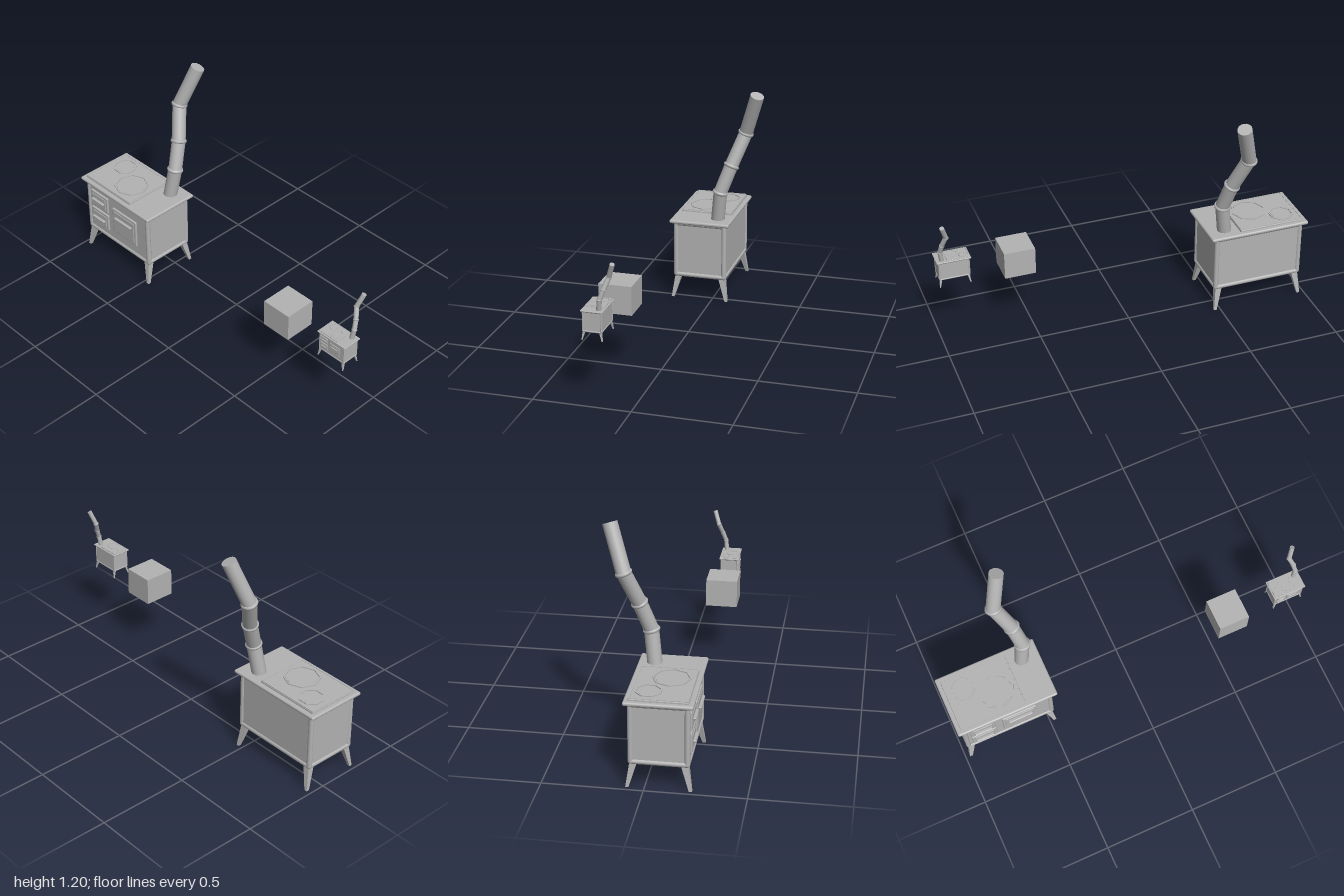
import * as THREE from 'three';
import { RoundedBoxGeometry } from 'three/addons/geometries/RoundedBoxGeometry.js';

const iron = new THREE.MeshStandardMaterial({ color: 0xb3b3b3 });
iron.name = 'grey iron';

const UP = new THREE.Vector3(0, 1, 0);

function add(group, name, geometry, x = 0, y = 0, z = 0) {
  const mesh = new THREE.Mesh(geometry, iron);
  mesh.name = name;
  mesh.position.set(x, y, z);
  group.add(mesh);
  return mesh;
}

// Round bar between two points
function bar(group, name, a, b, radius, sides = 12) {
  const dir = b.clone().sub(a);
  const mesh = add(group, name, new THREE.CylinderGeometry(radius, radius, dir.length(), sides));
  mesh.position.copy(a).add(b).multiplyScalar(0.5);
  mesh.quaternion.setFromUnitVectors(UP, dir.normalize());
  return mesh;
}

// Square leg, narrow at the foot and leaning outward
function legGeometry(sx, sz) {
  const g = new THREE.BoxGeometry(1, 0.14, 1).toNonIndexed();
  const p = g.attributes.position;
  for (let i = 0; i < p.count; i++) {
    const top = p.getY(i) > 0;
    const half = top ? 0.019 : 0.008;
    const cx = top ? 0.122 : 0.154, cz = top ? 0.224 : 0.249;
    p.setXYZ(i, sx * cx + Math.sign(p.getX(i)) * half, top ? 0.14 : 0,
      sz * cz + Math.sign(p.getZ(i)) * half);
  }
  g.computeVertexNormals();
  return g;
}

// Flat ring or frame lying on the cooking surface
function flatRing(outer, inner, height) {
  const shape = new THREE.Shape(outer);
  shape.holes.push(new THREE.Path(inner));
  const g = new THREE.ExtrudeGeometry(shape, { depth: height, bevelEnabled: false });
  return g.rotateX(-Math.PI / 2);
}

function octagon(r, turn) {
  return Array.from({ length: 8 }, (_, i) => {
    const a = turn + i * Math.PI / 4;
    return new THREE.Vector2(r * Math.cos(a), r * Math.sin(a));
  });
}

function rectangle(w, d) {
  return [[-1, -1], [1, -1], [1, 1], [-1, 1]].map(([x, y]) => new THREE.Vector2(x * w / 2, y * d / 2));
}

// Door on the -x side: plate, raised panel and bulging handle
function addDoor(group, y0, y1, z0, z1, handleY) {
  const door = new THREE.Group();
  door.name = 'door';
  const h = y1 - y0, w = z1 - z0, y = (y0 + y1) / 2, z = (z0 + z1) / 2;
  add(door, 'doorPlate', new RoundedBoxGeometry(0.014, h, w, 2, 0.005), -0.148, y, z);
  add(door, 'doorPanel', new RoundedBoxGeometry(0.01, h - 0.03, w - 0.03, 2, 0.004), -0.153, y, z);
  add(door, 'doorHandle', new RoundedBoxGeometry(0.022, 0.011, w * 0.7, 2, 0.005), -0.161, handleY, z);
  group.add(door);
}

function makeStove() {
  const stove = new THREE.Group();

  // Firebox centred on its own axis, then shifted by the caller
  const hx = 0.151, hz = 0.256, r = 0.014;
  add(stove, 'body', new THREE.BoxGeometry(0.288, 0.316, 0.498), 0, 0.286, 0);

  // Rounded frame along every edge
  const ex = hx - r, ez = hz - r, y0 = 0.137, y1 = 0.438;
  const v = (x, y, z) => new THREE.Vector3(x, y, z);
  for (const s of [-1, 1]) {
    for (const y of [y0, y1]) {
      bar(stove, 'frameRail', v(-ex, y, s * ez), v(ex, y, s * ez), r);
      bar(stove, 'frameRail', v(s * ex, y, -ez), v(s * ex, y, ez), r);
    }
    for (const t of [-1, 1]) {
      bar(stove, 'cornerPost', v(s * ex, y0, t * ez), v(s * ex, y1, t * ez), r);
      add(stove, 'frameCorner', new THREE.SphereGeometry(r, 12, 8), s * ex, y0, t * ez);
      add(stove, 'leg', legGeometry(s, t));
    }
  }

  // Countertop and cooking surface
  add(stove, 'countertop', new RoundedBoxGeometry(0.338, 0.02, 0.56, 3, 0.009), 0, 0.453, 0);
  add(stove, 'cookingPlate', new RoundedBoxGeometry(0.292, 0.016, 0.365, 2, 0.006), 0, 0.466, -0.074);
  add(stove, 'plateRim', flatRing(rectangle(0.288, 0.361), rectangle(0.274, 0.347), 0.004), 0, 0.472, -0.074);

  // Eight-sided burners
  for (const [x, z, radius, turn] of [[-0.028, -0.008, 0.096, 0], [0.06, -0.162, 0.068, Math.PI / 8]]) {
    add(stove, 'burnerRim', flatRing(octagon(radius, turn), octagon(radius - 0.008, turn), 0.006), x, 0.473, z);
    add(stove, 'burnerLid', flatRing(octagon(radius - 0.012, turn), octagon(0.001, turn), 0.003), x, 0.473, z);
  }

  // Two small fire doors and one oven door
  addDoor(stove, 0.302, 0.405, -0.215, -0.075, 0.358);
  addDoor(stove, 0.182, 0.288, -0.215, -0.075, 0.238);
  addDoor(stove, 0.205, 0.37, -0.035, 0.16, 0.32);

  // Crooked chimney with a collar at each bend
  const path = [
    v(0.086, 0.455, 0.182), v(0.106, 0.627, 0.206), v(0.16, 0.777, 0.18),
    v(0.226, 0.953, 0.12), v(0.302, 1.182, 0.187),
  ];
  for (let i = 0; i < path.length - 1; i++) {
    bar(stove, 'chimneyPipe', path[i], path[i + 1], 0.038, 20);
    if (i === 0) continue;
    add(stove, 'chimneyElbow', new THREE.SphereGeometry(0.038, 20, 12)).position.copy(path[i]);
    const before = path[i].clone().sub(path[i - 1]).normalize();
    const after = path[i + 1].clone().sub(path[i]).normalize();
    const collar = add(stove, 'chimneyCollar', new THREE.TorusGeometry(0.034, 0.0105, 10, 24));
    collar.position.copy(path[i]);
    collar.quaternion.setFromUnitVectors(new THREE.Vector3(0, 0, 1), before.add(after).normalize());
  }
  return stove;
}

export function createModel() {
  const model = new THREE.Group();
  model.name = 'stoves';

  const largeStove = makeStove();
  largeStove.name = 'largeStove';
  largeStove.position.set(-0.07, 0, -0.72);
  model.add(largeStove);

  const smallStove = makeStove();
  smallStove.name = 'smallStove';
  smallStove.scale.setScalar(0.328);
  smallStove.position.set(-0.191, 0.341, 0.908);
  model.add(smallStove);

  // Plain block beside the small stove
  add(model, 'block', new THREE.BoxGeometry(0.171, 0.152, 0.169), -0.19, 0.417, 0.566);
  return model;
}
